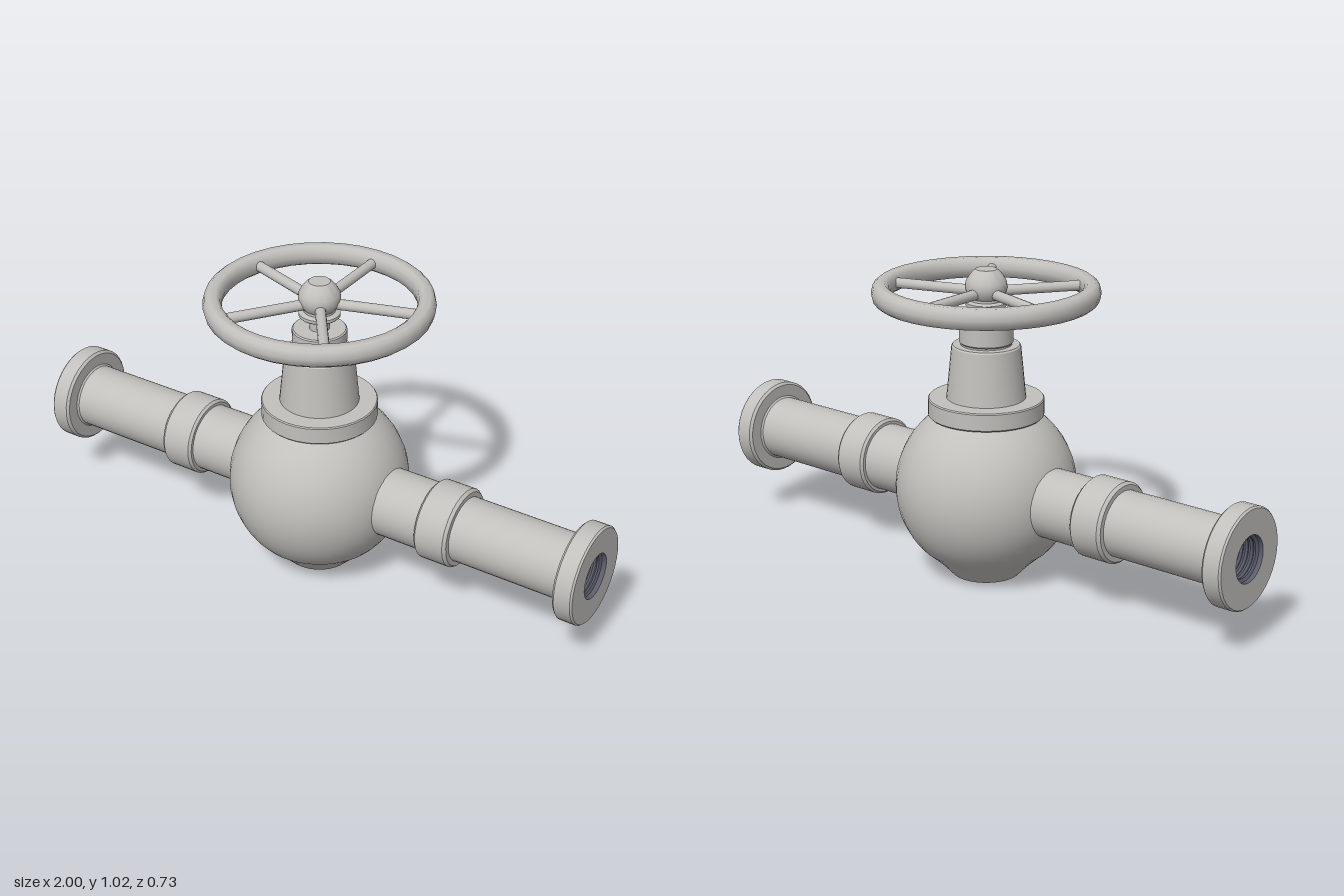
import * as THREE from 'three';
import { toCreasedNormals } from 'three/addons/utils/BufferGeometryUtils.js';

const SEGMENTS = 36;

// Turned part from [radius, height] pairs, listed upwards along its outside
function turned(name, profile, material, crease = 0.5) {
  const points = profile.map(([r, y]) => new THREE.Vector2(r, y));
  const geometry = toCreasedNormals(new THREE.LatheGeometry(points, SEGMENTS), crease);
  const mesh = new THREE.Mesh(geometry, material);
  mesh.name = name;
  return mesh;
}

export function createModel() {
  const metal = new THREE.MeshStandardMaterial({ color: 0xc2c0bc });
  metal.name = 'castMetal';
  const dark = new THREE.MeshStandardMaterial({ color: 0x5c5d6c });
  dark.name = 'darkBore';

  const model = new THREE.Group();
  model.name = 'globeValve';

  // Round body with a flared foot
  const bodyRadius = 0.295, bodyY = 0.3;
  const body = [[0, 0], [0.112, 0], [0.118, 0.006], [0.155, 0.045], [0.19, 0.077]];
  for (let i = 0; i <= 16; i++) {
    const a = THREE.MathUtils.lerp(-0.77, 0.98, i / 16);
    body.push([bodyRadius * Math.cos(a), bodyY + bodyRadius * Math.sin(a)]);
  }
  model.add(turned('body', body, metal));

  // Bonnet: flange, tapered neck and gland
  model.add(turned('bonnetFlange', [
    [0, 0.54], [0.182, 0.54], [0.187, 0.545], [0.187, 0.597], [0.184, 0.601], [0, 0.601],
  ], metal));
  model.add(turned('bonnetNeck', [
    [0.128, 0.6], [0.111, 0.771], [0.107, 0.776], [0, 0.776],
  ], metal));
  model.add(turned('gland', [
    [0.082, 0.775], [0.082, 0.781], [0.087, 0.786], [0.087, 0.853], [0.083, 0.857], [0, 0.857],
  ], metal));
  model.add(turned('stem', [[0.032, 0.85], [0.032, 0.91]], metal));

  // Two pipe arms, each with a collar, an end flange and a blind bore
  for (const side of [1, -1]) {
    const arm = new THREE.Group();
    arm.name = side > 0 ? 'leftArm' : 'rightArm';
    arm.add(turned('pipe', [
      [0.113, 0.15], [0.113, 0.432], [0.123, 0.432], [0.131, 0.44],
      [0.131, 0.538], [0.123, 0.548], [0.107, 0.548], [0.107, 0.927],
      [0.113, 0.932], [0.153, 0.932], [0.161, 0.94], [0.161, 0.994],
      [0.156, 1], [0.075, 1],
    ], metal));
    // Ribbed bore closed by a plate
    const bore = [[0.075, 1], [0.075, 0.985]];
    for (let i = 0; i < 5; i++) {
      const y = 0.98 - i * 0.018;
      bore.push([0.065, y], [0.065, y - 0.006], [0.071, y - 0.012]);
    }
    bore.push([0.062, 0.89], [0.062, 0.87], [0, 0.87]);
    arm.add(turned('bore', bore, dark));
    arm.position.y = bodyY;
    arm.rotation.z = -side * Math.PI / 2;
    model.add(arm);
  }

  // Handwheel: faceted rim, hub and five spokes
  const wheel = new THREE.Group();
  wheel.name = 'handwheel';
  wheel.position.y = 0.947;
  wheel.add(turned('rim', [
    [0.32, -0.033], [0.345, -0.033], [0.357, -0.023], [0.363, 0],
    [0.357, 0.023], [0.345, 0.033], [0.32, 0.033], [0.308, 0.023],
    [0.303, 0], [0.308, -0.023], [0.32, -0.033],
  ], metal, 0.7));
  wheel.add(turned('hub', [
    [0, -0.047], [0.062, -0.047], [0.066, -0.043], [0.066, -0.033], [0.05, -0.028],
    [0.05, -0.02], [0.062, -0.005], [0.067, 0.015], [0.065, 0.034],
    [0.054, 0.052], [0.043, 0.066], [0.034, 0.073], [0, 0.073],
  ], metal, 0.6));
  const spokeGeometry = new THREE.CylinderGeometry(0.017, 0.017, 0.28, 12, 1, true);
  spokeGeometry.rotateX(Math.PI / 2).translate(0, 0, -0.18);
  for (let i = 0; i < 5; i++) {
    const spoke = new THREE.Mesh(spokeGeometry, metal);
    spoke.name = 'spoke';
    spoke.rotation.y = i * Math.PI * 2 / 5;
    wheel.add(spoke);
  }
  model.add(wheel);

  return model;
}
